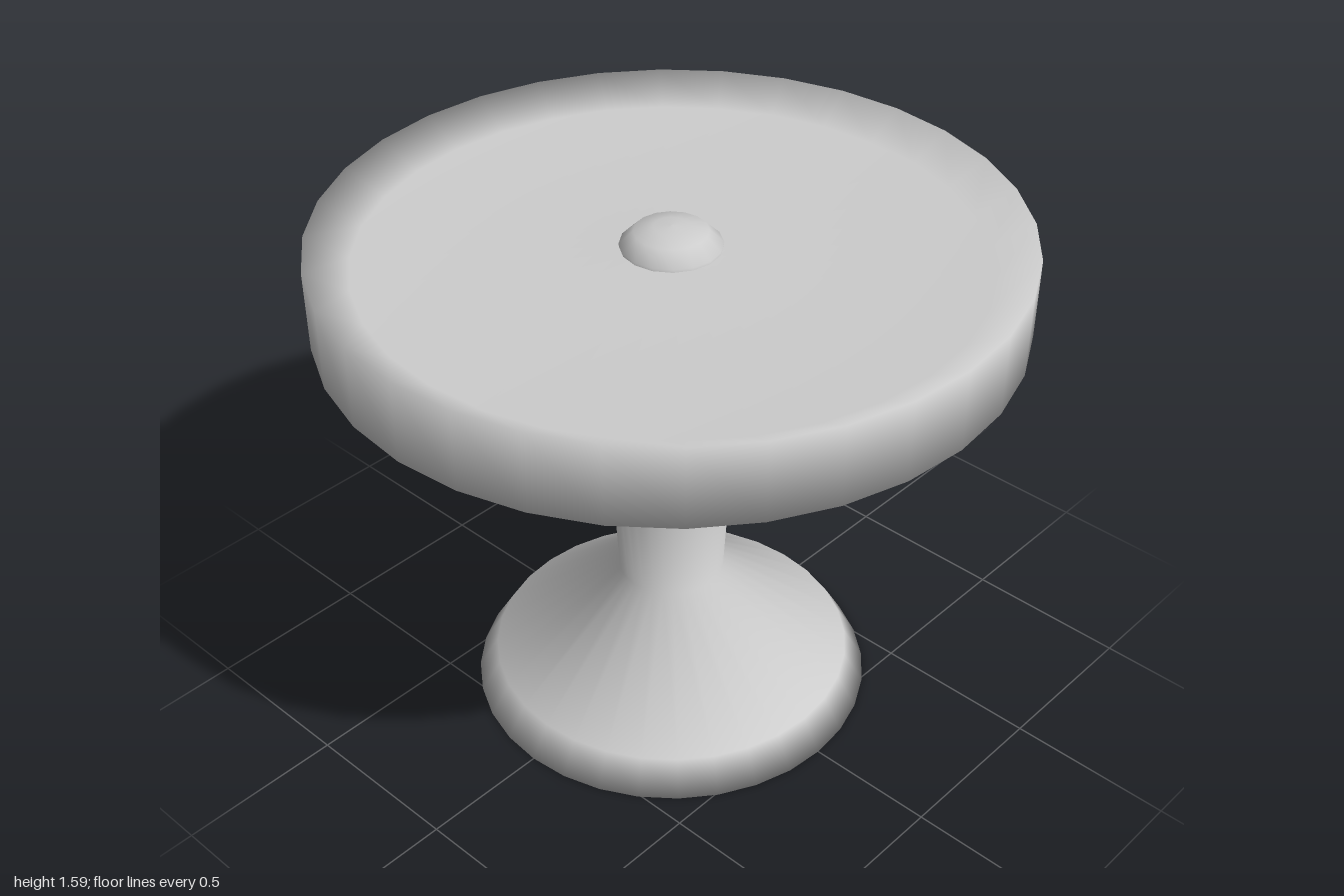
import * as THREE from 'three';

const grey = new THREE.MeshStandardMaterial({ color: 0xcccccc });
grey.name = 'light grey';

// Smooth turned part from [radius, height] points, listed bottom to top
function turned(name, points, sides) {
  const profile = points.map(([r, y]) => new THREE.Vector2(r, y));
  const mesh = new THREE.Mesh(new THREE.LatheGeometry(profile, sides), grey);
  mesh.name = name;
  return mesh;
}

export function createModel() {
  const group = new THREE.Group();
  group.name = 'pedestalTable';

  // Flared foot running up into a column that widens under the top
  group.add(turned('pedestal', [
    [0, 0], [0.61, 0], [0.55, 0.1], [0.16, 0.41],
    [0.19, 0.97], [0.25, 1.335], [0.258, 1.4],
  ], 32));

  // Round top: raised rim on both faces around a slightly domed centre
  group.add(turned('tableTop', [
    [0, 1.38], [0.88, 1.405], [1, 1.335],
    [1, 1.575], [0.88, 1.505], [0, 1.53],
  ], 32));

  // Small domed cap in the middle of the top
  group.add(turned('centreCap', [
    [0.14, 1.5], [0.145, 1.535], [0.105, 1.574], [0.05, 1.587], [0, 1.59],
  ], 16));

  return group;
}
